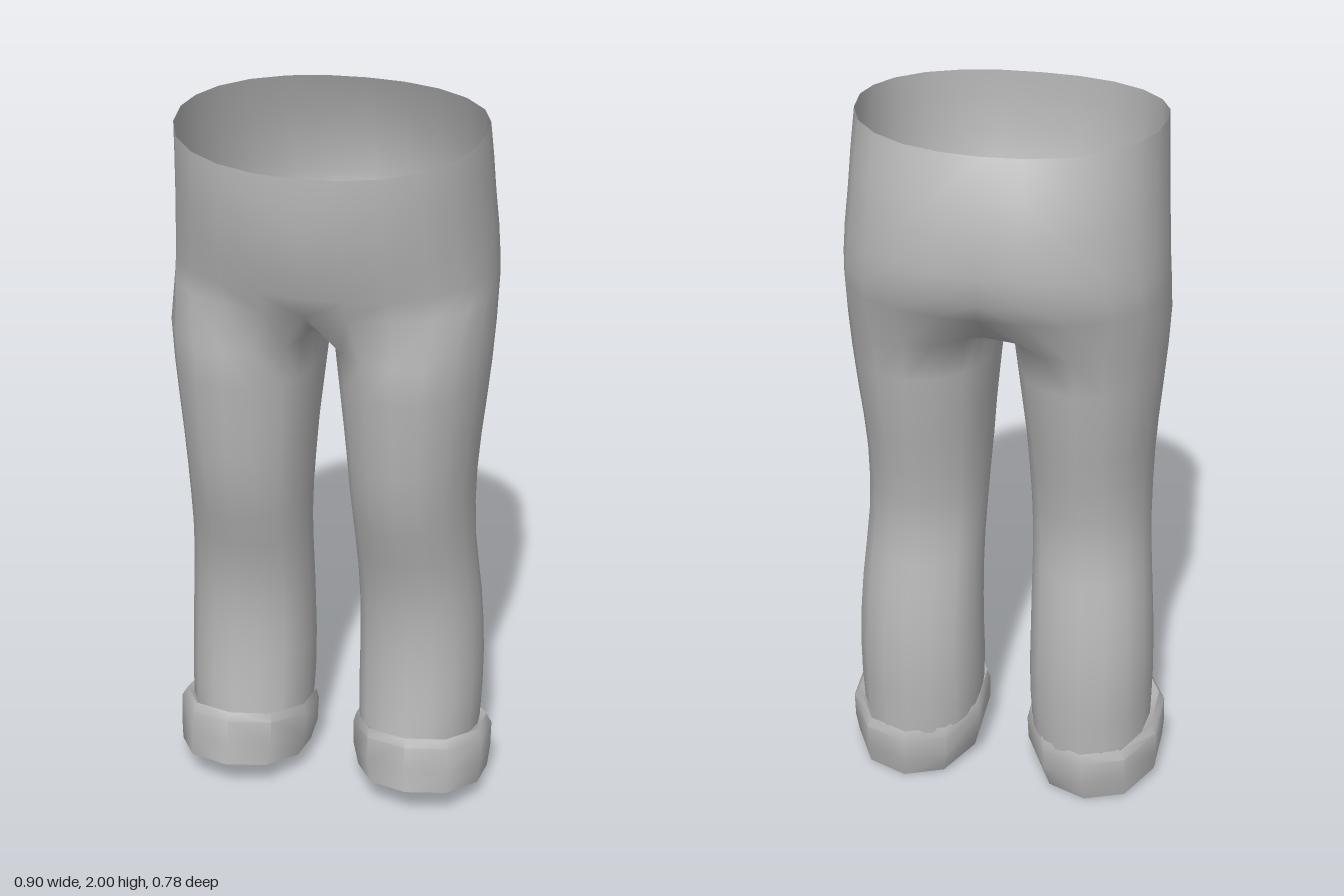
import * as THREE from 'three';
import { mergeVertices, toCreasedNormals } from 'three/addons/utils/BufferGeometryUtils.js';

const OUTER = 12; // segments from front centre round the hip to back centre
const SPREAD = Math.PI / 4; // how far the hip columns wrap onto the inner leg

// Rounded cross-section point; a = 0 is the front, a = PI/2 the outer side
function section(x0, x1, zf, zb, a, p) {
  const s = Math.sin(a), c = Math.cos(a);
  const r = Math.pow(Math.pow(Math.abs(s), p) + Math.pow(Math.abs(c), p), -1 / p);
  return [(x0 + x1) / 2 + (x1 - x0) / 2 * s * r, (zf + zb) / 2 + (zf - zb) / 2 * c * r];
}

// Hip rings: y, half width, front z, back z, squareness
const HIPS = [
  [2.0, 0.41, 0.39, -0.32, 2.2],
  [1.9, 0.415, 0.39, -0.362, 2.2],
  [1.8, 0.42, 0.383, -0.386, 2.2],
  [1.7, 0.427, 0.36, -0.395, 2.25],
  [1.62, 0.43, 0.333, -0.382, 2.4],
  [1.56, 0.432, 0.31, -0.35, 2.6],
];

// Crotch seam on the centre line, from back to front: y, z
const CROTCH = [[1.49, -0.295], [1.465, -0.21], [1.455, -0.1], [1.455, 0.02], [1.465, 0.13], [1.5, 0.24]];

// Leg rings: y, inner x, outer x, front z, back z, tilt towards the front
const LEG = [
  [1.43, 0.018, 0.435, 0.3, -0.272, 0],
  [1.32, 0.03, 0.428, 0.293, -0.255, 0],
  [1.2, 0.043, 0.417, 0.282, -0.235, 0],
  [1.1, 0.053, 0.407, 0.272, -0.215, 0],
  [1.0, 0.06, 0.4, 0.257, -0.195, 0],
  [0.9, 0.067, 0.398, 0.23, -0.178, 0],
  [0.8, 0.072, 0.4, 0.197, -0.17, 0],
  [0.7, 0.075, 0.407, 0.17, -0.182, 0],
  [0.6, 0.076, 0.415, 0.156, -0.2, 0],
  [0.5, 0.076, 0.421, 0.155, -0.213, 0.03],
  [0.4, 0.075, 0.424, 0.16, -0.222, 0.08],
  [0.3, 0.075, 0.424, 0.172, -0.22, 0.15],
  [0.2, 0.08, 0.42, 0.185, -0.215, 0.2],
];

// Skin between successive rows, mirrored when side is -1
function loft(rows, closed, side, out) {
  const put = (...pts) => {
    if (side < 0) pts.reverse();
    pts.forEach(([x, y, z]) => out.push(x * side, y, z));
  };
  for (let i = 0; i < rows.length - 1; i++) {
    const n = rows[i].length;
    for (let j = 0; j < (closed ? n : n - 1); j++) {
      const k = (j + 1) % n;
      const a = rows[i][j], b = rows[i + 1][j], c = rows[i + 1][k], d = rows[i][k];
      put(a, b, d);
      put(b, c, d);
    }
  }
}

function toGeometry(positions) {
  const g = new THREE.BufferGeometry();
  g.setAttribute('position', new THREE.Float32BufferAttribute(positions, 3));
  return g;
}

function trouserGeometry() {
  // Half rings of the hips; the waist edge dips at the front
  const hipRows = HIPS.map(([y, w, zf, zb, p], i) => {
    const row = [];
    for (let j = 0; j <= OUTER; j++) {
      const a = j / OUTER * Math.PI;
      const [x, z] = section(-w, w, zf, zb, a, p);
      const dip = i === 0 ? 0.035 * Math.max(0, Math.cos(a)) : 0;
      row.push([j % OUTER === 0 ? 0 : x, y - dip, z]);
    }
    return row;
  });

  // Leg starts from the lowest half ring closed by the crotch seam
  const top = [...hipRows[hipRows.length - 1], ...CROTCH.map(([y, z]) => [0, y, z])];
  const inner = CROTCH.length + 1;
  const legRows = LEG.map(([y, x0, x1, zf, zb, tilt]) => top.map((_, j) => {
    const a = j <= OUTER
      ? -SPREAD + j / OUTER * (Math.PI + 2 * SPREAD)
      : Math.PI + SPREAD + (j - OUTER) / inner * (Math.PI - 2 * SPREAD);
    const [x, z] = section(x0, x1, zf, zb, a, 2.2);
    return [x, y + z * tilt, z];
  }));

  const out = [];
  for (const side of [1, -1]) {
    loft(hipRows, false, side, out);
    loft([top, ...legRows], true, side, out);
  }
  const g = mergeVertices(toGeometry(out), 1e-4);
  g.computeVertexNormals();
  return g;
}

// Turned-up cuff rings: y, inner x, outer x, front z, back z
const CUFF = [
  [0.19, 0.088, 0.415, 0.175, -0.205],
  [0.212, 0.072, 0.44, 0.203, -0.222],
  [0.185, 0.064, 0.456, 0.215, -0.23],
  [0.11, 0.066, 0.456, 0.222, -0.222],
  [0.045, 0.084, 0.45, 0.23, -0.205],
];

function cuffGeometry(side) {
  const sides = 10;
  const rows = CUFF.map(([y, x0, x1, zf, zb]) => Array.from({ length: sides }, (_, j) => {
    const [x, z] = section(x0, x1, zf, zb, j / sides * Math.PI * 2, 2.15);
    return [x, y + z * 0.21, z];
  }));
  // Flat sole closing the bottom
  const centre = [0.267, 0.0476, 0.0125];
  rows.push(rows[0].map(() => centre));
  const out = [];
  loft(rows, true, side, out);
  return toCreasedNormals(toGeometry(out), 0.75);
}

export function createModel() {
  const cloth = new THREE.MeshStandardMaterial({ color: 0xb8b8b8, side: THREE.DoubleSide });
  cloth.name = 'greyCloth';
  const model = new THREE.Group();
  model.name = 'trousers';

  const add = (name, geometry) => {
    const mesh = new THREE.Mesh(geometry, cloth);
    mesh.name = name;
    model.add(mesh);
  };
  add('hipsAndLegs', trouserGeometry());
  add('leftCuff', cuffGeometry(1));
  add('rightCuff', cuffGeometry(-1));
  return model;
}
